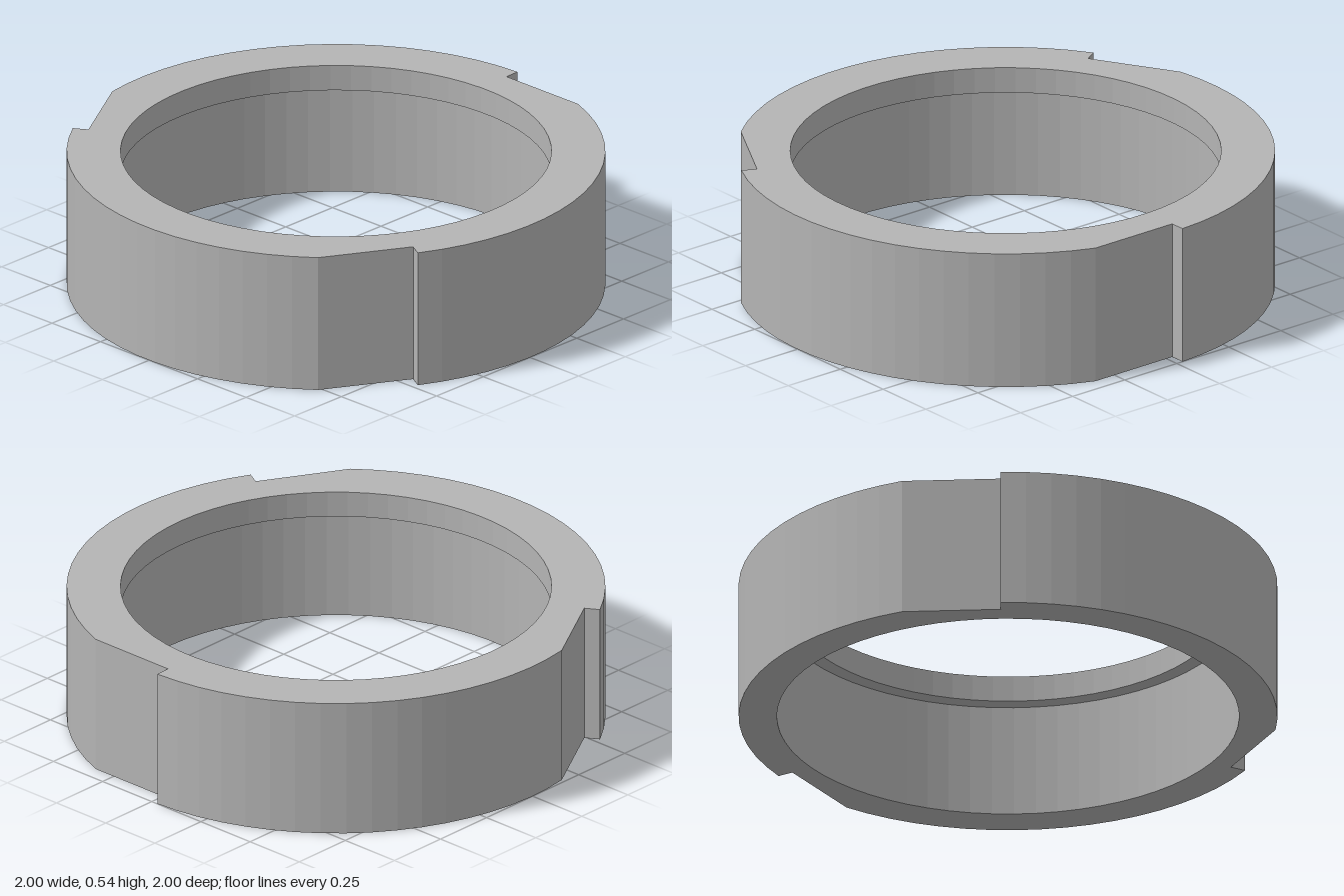
import * as THREE from 'three';

const HEIGHT = 0.535, LIP_BOTTOM = 0.435;  // overall height, underside of inner lip
const OUTER = 1, LIP = 0.8, BORE = 0.858;  // radii
const FLAT = 0.94, STEP = -0.028;          // notch flat distance and its stepped end

// Outline of the ring: three ratchet notches, each a step, a flat and an arc
function outline() {
  const points = [];
  const flatEnd = Math.acos(FLAT / OUTER);
  const flatStart = Math.atan2(STEP, FLAT);
  const arcEnd = Math.PI * 2 / 3 + Math.asin(STEP / OUTER);
  for (let n = 0; n < 3; n++) {
    const turn = n * Math.PI * 2 / 3;
    for (let i = 0; i < 4; i++) {
      const a = THREE.MathUtils.lerp(flatStart, flatEnd, i / 4);
      points.push({ angle: turn + a, radius: FLAT / Math.cos(a) });
    }
    for (let i = 0; i <= 18; i++) {
      points.push({ angle: turn + THREE.MathUtils.lerp(flatEnd, arcEnd, i / 18), radius: OUTER });
    }
  }
  return points;
}

// Sweep the stepped wall section around the outline, one flat quad at a time
function ringGeometry() {
  const sections = outline().map(({ angle, radius }) => [
    [radius, 0], [radius, HEIGHT], [LIP, HEIGHT],
    [LIP, LIP_BOTTOM], [BORE, LIP_BOTTOM], [BORE, 0],
  ].map(([r, y]) => [r * Math.cos(angle), y, r * Math.sin(angle)]));

  const positions = [];
  sections.forEach((s, i) => {
    const t = sections[(i + 1) % sections.length];
    for (let k = 0; k < s.length; k++) {
      const m = (k + 1) % s.length;
      positions.push(...s[k], ...s[m], ...t[m], ...s[k], ...t[m], ...t[k]);
    }
  });
  const geometry = new THREE.BufferGeometry();
  geometry.setAttribute('position', new THREE.Float32BufferAttribute(positions, 3));
  geometry.computeVertexNormals();
  return geometry;
}

export function createModel() {
  const group = new THREE.Group();
  group.name = 'notchedCollar';
  const grey = new THREE.MeshStandardMaterial({ color: 0xb4b4b4 });
  grey.name = 'light grey';
  const ring = new THREE.Mesh(ringGeometry(), grey);
  ring.name = 'notchedRing';
  group.add(ring);
  return group;
}
